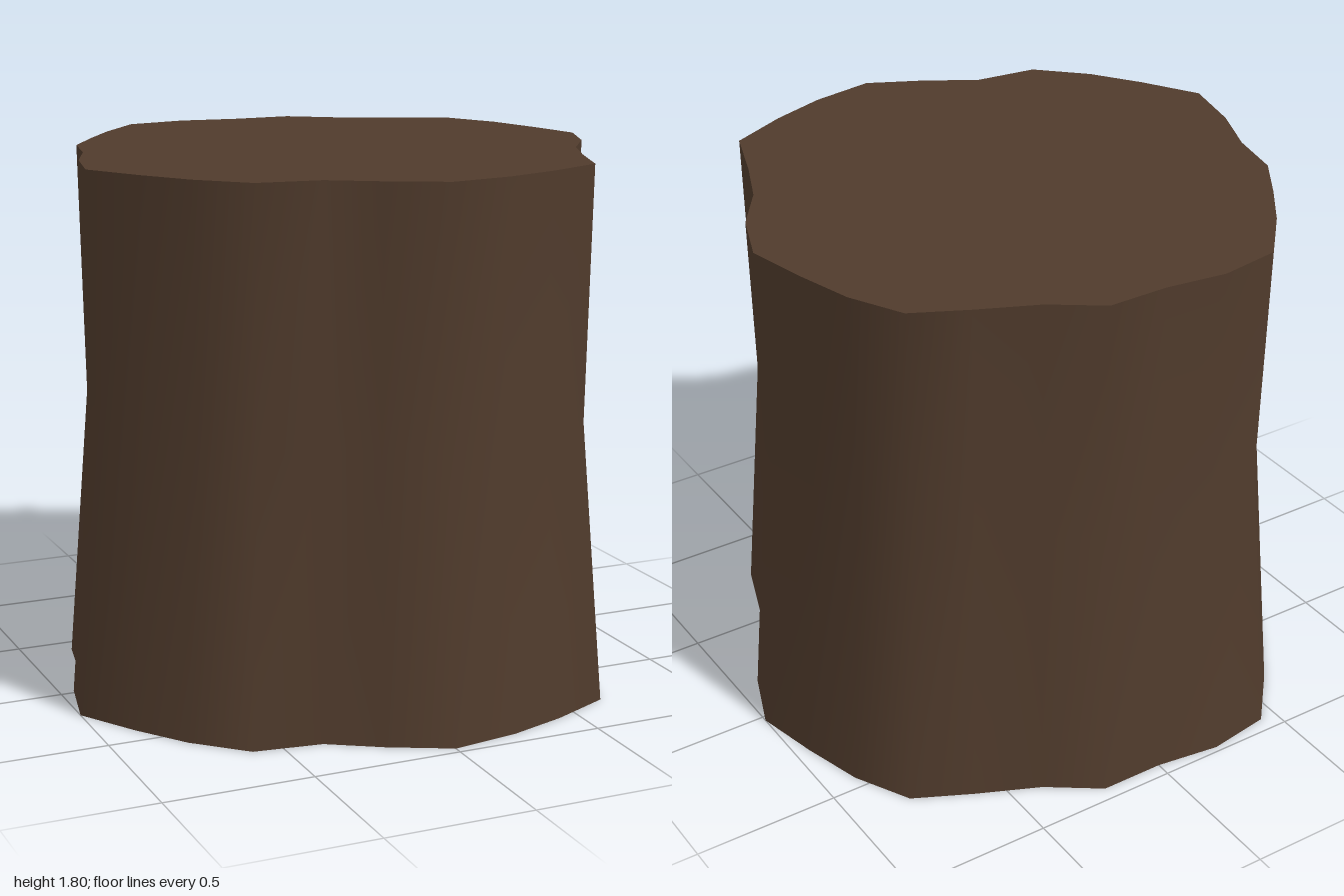
import * as THREE from 'three';

// Irregular outline of the stump at the ground, as [x, z], counter-clockwise seen from above
const OUTLINE = [
  [1, -0.02], [0.95, -0.24], [0.89, -0.45], [0.79, -0.64], [0.6, -0.735], [0.39, -0.83], [0.22, -0.95],
  [0, -0.95], [-0.22, -0.98], [-0.44, -0.945], [-0.6, -0.76], [-0.72, -0.59], [-0.83, -0.42], [-0.87, -0.22],
  [-0.95, -0.02], [-1, 0.21], [-0.88, 0.41], [-0.76, 0.58], [-0.6, 0.735], [-0.37, 0.765], [-0.2, 0.87],
  [0, 0.97], [0.23, 0.935], [0.43, 0.87], [0.64, 0.775], [0.72, 0.55], [0.8, 0.36], [0.92, 0.19],
];

// Each level: [height, scale of the outline]
const LEVELS = [[0, 1], [0.95, 0.915], [1.8, 0.932]];

function makeGeometry(positions, index) {
  const geometry = new THREE.BufferGeometry();
  geometry.setAttribute('position', new THREE.Float32BufferAttribute(positions, 3));
  geometry.setIndex(index);
  geometry.computeVertexNormals();
  return geometry;
}

const ring = ([y, s]) => OUTLINE.flatMap(([x, z]) => [x * s, y, z * s]);

// Open wall through all levels, smooth around
function barkGeometry() {
  const n = OUTLINE.length;
  const index = [];
  for (let l = 0; l < LEVELS.length - 1; l++) {
    for (let i = 0; i < n; i++) {
      const j = (i + 1) % n;
      const a = l * n + i, b = l * n + j;
      index.push(a, b, b + n, a, b + n, a + n);
    }
  }
  return makeGeometry(LEVELS.flatMap(ring), index);
}

// Flat fan closing the top
function cutTopGeometry() {
  const n = OUTLINE.length;
  const top = LEVELS[LEVELS.length - 1];
  const index = [];
  for (let i = 0; i < n; i++) index.push(n, i, (i + 1) % n);
  return makeGeometry([...ring(top), 0, top[0], 0], index);
}

export function createModel() {
  const group = new THREE.Group();
  group.name = 'treeStump';
  const wood = new THREE.MeshStandardMaterial({ color: 0x503b2c, side: THREE.DoubleSide });
  wood.name = 'brown wood';

  const bark = new THREE.Mesh(barkGeometry(), wood);
  bark.name = 'bark';
  const cutTop = new THREE.Mesh(cutTopGeometry(), wood);
  cutTop.name = 'cutTop';
  group.add(bark, cutTop);
  return group;
}
